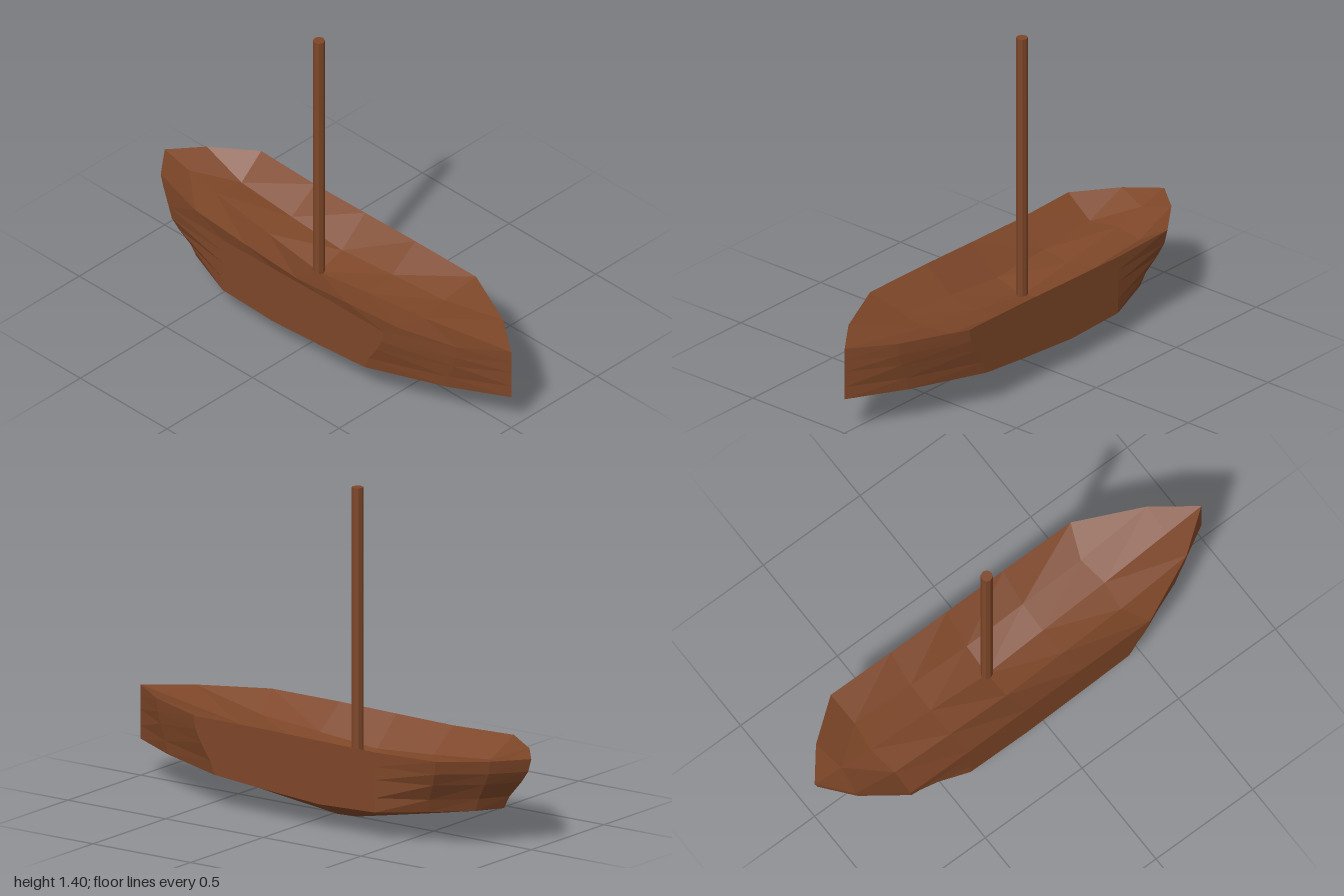
import * as THREE from 'three';

// Stations from stern to bow:
// rim [x, y, half width], chine [x, y, half width], deck fold [x, y], deck centre [x, y]
const STATIONS = [
  { rim: [-1, 0.385, 0], chine: [-0.86, 0.155, 0], fold: [-1, 0.385], centre: [-1, 0.385] },
  { rim: [-0.89, 0.385, 0.135], chine: [-0.79, 0.153, 0.1], fold: [-0.89, 0.385], centre: [-0.86, 0.35] },
  { rim: [-0.71, 0.385, 0.27], chine: [-0.62, 0.142, 0.2], fold: [-0.69, 0.305], centre: [-0.71, 0.315] },
  { rim: [-0.4, 0.376, 0.27], chine: [-0.4, 0.12, 0.27], fold: [-0.4, 0.28], centre: [-0.4, 0.265] },
  { rim: [-0.11, 0.38, 0.27], chine: [-0.11, 0.11, 0.27], fold: [-0.11, 0.26], centre: [-0.11, 0.22] },
  { rim: [0.18, 0.385, 0.27], chine: [0.18, 0.13, 0.27], fold: [0.18, 0.285], centre: [0.18, 0.26] },
  { rim: [0.53, 0.385, 0.27], chine: [0.42, 0.15, 0.27], fold: [0.48, 0.31], centre: [0.5, 0.3] },
  { rim: [0.82, 0.385, 0.135], chine: [0.76, 0.155, 0.135], fold: [0.82, 0.385], centre: [0.82, 0.355] },
  { rim: [1, 0.385, 0], chine: [1, 0.155, 0], fold: [1, 0.385], centre: [1, 0.385] },
];

// Side curve: [drop from rim to chine, sideways shift from rim to chine]
const SIDE = [[0, 0], [0.24, 0.11], [0.46, 0.36], [0.76, 0.79], [1, 1]];

// Keel height along the hull, lowest under the mast
const keelY = (x) => (x < -0.11
  ? 0.155 * (-0.11 - x) / 0.75
  : 0.155 * (x + 0.11) / 1.11);

// Outer cross-section from rim down to keel, on one side (s = 1 or -1)
function hullSection({ rim, chine }, s) {
  const { lerp } = THREE.MathUtils;
  const [cx, cy, cw] = chine;
  const pts = SIDE.map(([t, f]) => new THREE.Vector3(
    lerp(rim[0], cx, f), lerp(rim[1], cy, t), s * lerp(rim[2], cw, f),
  ));
  const k = keelY(cx);
  pts.push(new THREE.Vector3(cx, lerp(k, cy, 0.36), s * cw / 2));
  pts.push(new THREE.Vector3(cx, k, 0));
  return pts;
}

// Deck cross-section from the centre valley up to the rim, on one side
function deckSection({ rim, fold, centre }, s) {
  return [
    new THREE.Vector3(...centre, 0),
    new THREE.Vector3(...fold, s * Math.min(rim[2], 0.135)),
    new THREE.Vector3(rim[0], rim[1], s * rim[2]),
  ];
}

// Loft the sections from stern to bow on both sides, skipping collapsed faces
function loft(section) {
  const pos = [];
  const tri = new THREE.Triangle();
  const add = (a, b, c) => {
    if (tri.set(a, b, c).getArea() > 1e-6) pos.push(...a, ...b, ...c);
  };
  for (const s of [1, -1]) {
    const rows = STATIONS.map((st) => section(st, s));
    for (let i = 0; i < rows.length - 1; i++) {
      for (let j = 0; j < rows[i].length - 1; j++) {
        const a = rows[i][j], b = rows[i + 1][j];
        const c = rows[i][j + 1], d = rows[i + 1][j + 1];
        if (s > 0) { add(a, c, d); add(a, d, b); }
        else { add(a, d, c); add(a, b, d); }
      }
    }
  }
  const g = new THREE.BufferGeometry();
  g.setAttribute('position', new THREE.Float32BufferAttribute(pos, 3));
  g.computeVertexNormals();
  return g;
}

export function createModel() {
  const model = new THREE.Group();
  model.name = 'boat';
  const wood = new THREE.MeshStandardMaterial({
    color: 0x7d4628, flatShading: true, side: THREE.DoubleSide,
  });
  const addPart = (name, geometry) => {
    const mesh = new THREE.Mesh(geometry, wood);
    mesh.name = name;
    model.add(mesh);
    return mesh;
  };

  addPart('hull', loft(hullSection));
  addPart('deck', loft(deckSection));

  // Mast rising from the deck valley
  const bottom = 0.2, top = 1.4;
  const mast = addPart('mast', new THREE.CylinderGeometry(0.025, 0.025, top - bottom, 8));
  mast.position.set(-0.11, (top + bottom) / 2, 0);

  return model;
}
